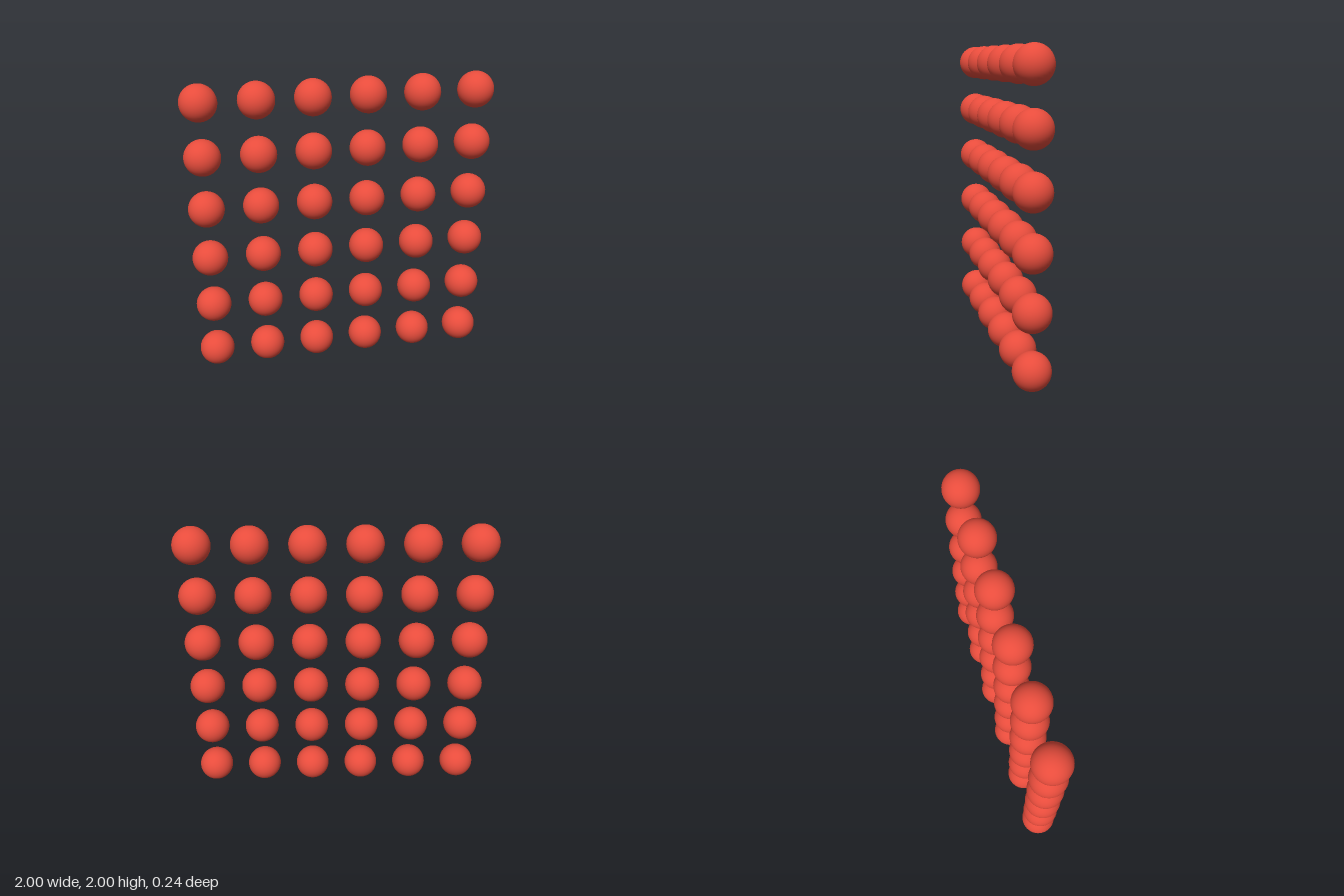
import * as THREE from 'three';

const COUNT = 6;              // balls per row and per column
const RADIUS = 2 / 17;        // spacing is three radii, so the grid spans 2 units
const SPACING = 3 * RADIUS;

export function createModel() {
  const model = new THREE.Group();
  model.name = 'ballGrid';

  const geometry = new THREE.SphereGeometry(RADIUS, 40, 24);
  const material = new THREE.MeshStandardMaterial({ color: 0xe74c3c });

  // Upright square grid of separate balls, one group per row
  for (let r = 0; r < COUNT; r++) {
    const row = new THREE.Group();
    row.name = `row${r + 1}`;
    row.position.y = RADIUS + r * SPACING;
    for (let c = 0; c < COUNT; c++) {
      const ball = new THREE.Mesh(geometry, material);
      ball.name = `ball${c + 1}`;
      ball.position.x = (c - (COUNT - 1) / 2) * SPACING;
      row.add(ball);
    }
    model.add(row);
  }
  return model;
}
